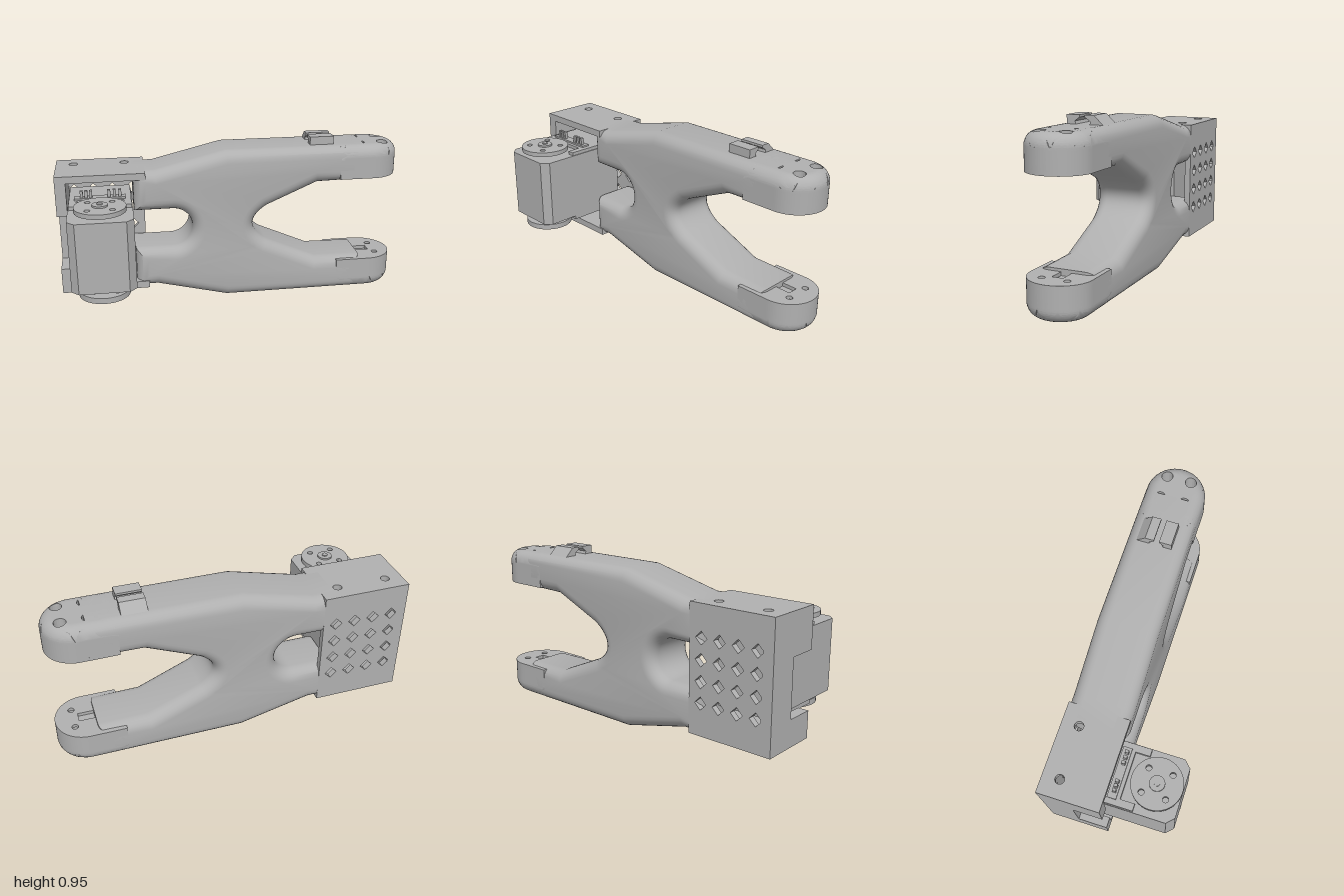
import * as THREE from 'three';
import { toCreasedNormals } from 'three/addons/utils/BufferGeometryUtils.js';

const grey = new THREE.MeshStandardMaterial({ color: 0xb0b0b0 });
grey.name = 'machine grey';

const MID_Y = 0.45, MID_Z = -0.185, HALF = 0.17, FILLET = 0.07;

function add(parent, name, geo, x = 0, y = 0, z = 0) {
  const m = new THREE.Mesh(geo, grey);
  m.name = name;
  m.position.set(x, y, z);
  parent.add(m);
  return m;
}

// box given by its limits
function block(parent, name, x0, x1, y0, y1, z0, z1) {
  return add(parent, name, new THREE.BoxGeometry(x1 - x0, y1 - y0, z1 - z0),
    (x0 + x1) / 2, (y0 + y1) / 2, (z0 + z1) / 2);
}

const poly = pts => new THREE.Shape(pts.map(p => new THREE.Vector2(p[0], p[1])));

function hole(shape, x, y, r) {
  shape.holes.push(new THREE.Path().absarc(x, y, r, 0, Math.PI * 2, true));
}

const extrude = (shape, depth) =>
  new THREE.ExtrudeGeometry(shape, { depth, bevelEnabled: false, curveSegments: 20 });

// plan shape (x, -z) raised along y
const slab = (shape, depth) => extrude(shape, depth).rotateX(-Math.PI / 2);

// split every triangle into four, n times
function subdivide(geo, n) {
  let p = Array.from(geo.getAttribute('position').array);
  for (let k = 0; k < n; k++) {
    const q = [];
    for (let i = 0; i < p.length; i += 9) {
      const [a, b, c] = [0, 3, 6].map(o => p.slice(i + o, i + o + 3));
      const mid = (u, v) => u.map((e, j) => (e + v[j]) / 2);
      const ab = mid(a, b), bc = mid(b, c), ca = mid(c, a);
      q.push(...a, ...ab, ...ca, ...ab, ...b, ...bc, ...ca, ...bc, ...c, ...ab, ...bc, ...ca);
    }
    p = q;
  }
  return new THREE.BufferGeometry().setAttribute('position', new THREE.Float32BufferAttribute(p, 3));
}

// X-shaped bracket outline, symmetric about y = 0
function bodyGeometry() {
  const s = new THREE.Shape();
  s.moveTo(-0.57, -0.35);
  s.lineTo(-0.45, -0.35);
  s.lineTo(-0.04, -0.45);
  s.lineTo(0.78, -0.45);
  s.lineTo(0.78, -0.24);
  s.lineTo(0.5, -0.235);
  s.lineTo(0.2, -0.105);
  s.quadraticCurveTo(0.04, 0, 0.2, 0.105);
  s.lineTo(0.5, 0.235);
  s.lineTo(0.78, 0.24);
  s.lineTo(0.78, 0.45);
  s.lineTo(-0.04, 0.45);
  s.lineTo(-0.45, 0.35);
  s.lineTo(-0.57, 0.35);
  s.lineTo(-0.57, 0.115);
  s.absarc(-0.35, 0, 0.115, Math.PI / 2, -Math.PI / 2, true);
  s.lineTo(-0.57, -0.115);
  const g = new THREE.ExtrudeGeometry(s, {
    depth: 2 * (HALF - FILLET), bevelThickness: FILLET, bevelSize: FILLET,
    bevelOffset: -FILLET, bevelSegments: 6, curveSegments: 16,
  });
  return toCreasedNormals(g.translate(0, 0, FILLET - HALF), 0.6);
}

// fork tip plan with a round end; its centre is the origin
function tipShape(left, notch, r) {
  const s = new THREE.Shape();
  s.moveTo(left, -HALF);
  s.lineTo(0, -HALF);
  s.absarc(0, 0, HALF, -Math.PI / 2, Math.PI / 2, false);
  s.lineTo(left, HALF);
  if (notch) {
    s.lineTo(left, 0.03);
    s.lineTo(0.04, 0.03);
    s.lineTo(0.04, -0.03);
    s.lineTo(left, -0.03);
  }
  for (const x of [-0.07, 0.07]) for (const y of [-0.07, 0.07]) hole(s, x, y, r);
  return s;
}

// fork tip with its outer rim rounded over
function tipGeometry(h) {
  const g = subdivide(slab(tipShape(-0.2, false, 0.032), h), 3);
  const p = g.getAttribute('position');
  for (let i = 0; i < p.count; i++) {
    const x = p.getX(i), z = p.getZ(i);
    const d = x > 0 ? Math.hypot(x, z) : Math.abs(z);
    const t = Math.min(Math.max(d - (HALF - FILLET), 0), FILLET);
    const drop = FILLET - Math.sqrt(FILLET * FILLET - t * t);
    p.setY(i, p.getY(i) * (1 - drop / h));
  }
  return toCreasedNormals(g, 0.7);
}

function hornGeometry(r, h) {
  const s = new THREE.Shape().absarc(0, 0, r, 0, Math.PI * 2, false);
  for (const x of [-0.066, 0.066]) for (const y of [-0.066, 0.066]) hole(s, x, y, 0.016);
  return toCreasedNormals(slab(s, h), 0.6);
}

const drum = (r0, r1, h) => new THREE.CylinderGeometry(r0, r1, h, 32);

export function createModel() {
  const root = new THREE.Group();
  root.name = 'forkBracketWithMotor';

  // bracket
  const bracket = new THREE.Group();
  bracket.name = 'bracket';
  bracket.position.set(0, MID_Y, MID_Z);
  root.add(bracket);
  add(bracket, 'forkBody', bodyGeometry());

  // upper and lower halves: fork tip, mounting pad, housing wall
  const wall = poly([[-1, -HALF], [-0.5, -HALF], [-0.5, HALF], [-1, HALF]]);
  hole(wall, -0.9, 0.075, 0.025);
  hole(wall, -0.61, 0.075, 0.025);
  for (const side of ['upper', 'lower']) {
    const half = new THREE.Group();
    half.name = side + 'Half';
    if (side === 'lower') half.rotation.x = Math.PI;
    bracket.add(half);
    add(half, side + 'ForkTip', tipGeometry(0.175), 0.83, 0.275);
    add(half, side + 'TipPad', toCreasedNormals(slab(tipShape(-0.2, true, 0.018), 0.02), 0.6), 0.83, 0.255);
    // screw holes face the back on both halves
    const w = add(half, side + 'HousingWall', slab(wall, 0.04), 0, 0.31);
    if (side === 'lower') {
      w.rotation.x = Math.PI;
      w.position.y = 0.35;
    }
  }

  // housing end wall with a cable notch
  block(bracket, 'endWallBack', -1, -0.94, -0.311, 0.311, -HALF, 0.005);
  block(bracket, 'endWallTop', -1, -0.94, 0.12, 0.311, 0.005, HALF);
  block(bracket, 'endWallBottom', -1, -0.94, -0.311, -0.2, 0.005, HALF);

  // back plate with a grid of diamond vents
  const plate = poly([[-0.999, -0.312], [-0.5, -0.312], [-0.5, 0.312], [-0.999, 0.312]]);
  for (let i = 0; i < 4; i++) for (let j = 0; j < 4; j++) {
    const x = -0.91 + i * 0.112, y = -0.172 + j * 0.115, r = 0.036;
    plate.holes.push(new THREE.Path([[x - r, y], [x, y + r], [x + r, y], [x, y - r]]
      .map(p => new THREE.Vector2(...p))));
  }
  add(bracket, 'ventPlate', extrude(plate, 0.035), 0, 0, -HALF);

  // cable clip on the upper arm: profiles in (-z, y)
  const jaws = [
    [[0.095, 0.89], [0.15, 0.89], [0.14, 0.915], [0.165, 0.935], [0.165, 0.947], [0.095, 0.947]],
    [[0.22, 0.89], [0.305, 0.89], [0.245, 0.947], [0.195, 0.947], [0.195, 0.935], [0.225, 0.915]],
  ];
  for (const jaw of jaws)
    add(root, 'cableClipJaw', extrude(poly(jaw), 0.14).rotateY(Math.PI / 2), 0.46, 0, 0);

  // motor
  const motor = new THREE.Group();
  motor.name = 'motor';
  motor.position.set(-0.755, 0, 0);
  root.add(motor);
  const plan = poly([[-0.175, 0.22], [-0.175, -0.31], [-0.135, -0.35], [0.135, -0.35], [0.175, -0.31], [0.175, 0.22]]);
  add(motor, 'motorCase', slab(plan, 0.4), 0, 0.255, 0);
  block(motor, 'motorRearCase', -0.17, 0.17, 0.23, 0.675, -0.215, 0.05);
  for (const s of [-1, 1])
    block(motor, 'caseShoulder', s * 0.15 - 0.02, s * 0.15 + 0.02, 0.23, 0.675, 0.04, 0.13);

  // output horns and hubs
  add(motor, 'topHorn', hornGeometry(0.14, 0.026), 0, 0.675, 0.21);
  add(motor, 'topHub', drum(0.042, 0.042, 0.06), 0, 0.681, 0.21);
  add(motor, 'topScrew', drum(0.016, 0.016, 0.008), 0, 0.713, 0.21);
  add(motor, 'bottomHorn', hornGeometry(0.14, 0.032), 0, 0.193, 0.21);
  add(motor, 'bottomHub', drum(0.065, 0.065, 0.035), 0, 0.24, 0.21);
  add(motor, 'bottomScrew', drum(0.038, 0.026, 0.024), 0, 0.182, 0.21);

  // connector pins and socket on the motor top
  block(motor, 'socketBase', -0.14, 0.14, 0.67, 0.685, -0.02, 0.03);
  for (const x of [-0.1, -0.075, -0.05, 0.05, 0.08, 0.11])
    block(motor, 'connectorPin', x - 0.008, x + 0.008, 0.68, 0.725, 0, 0.02);

  return root;
}
